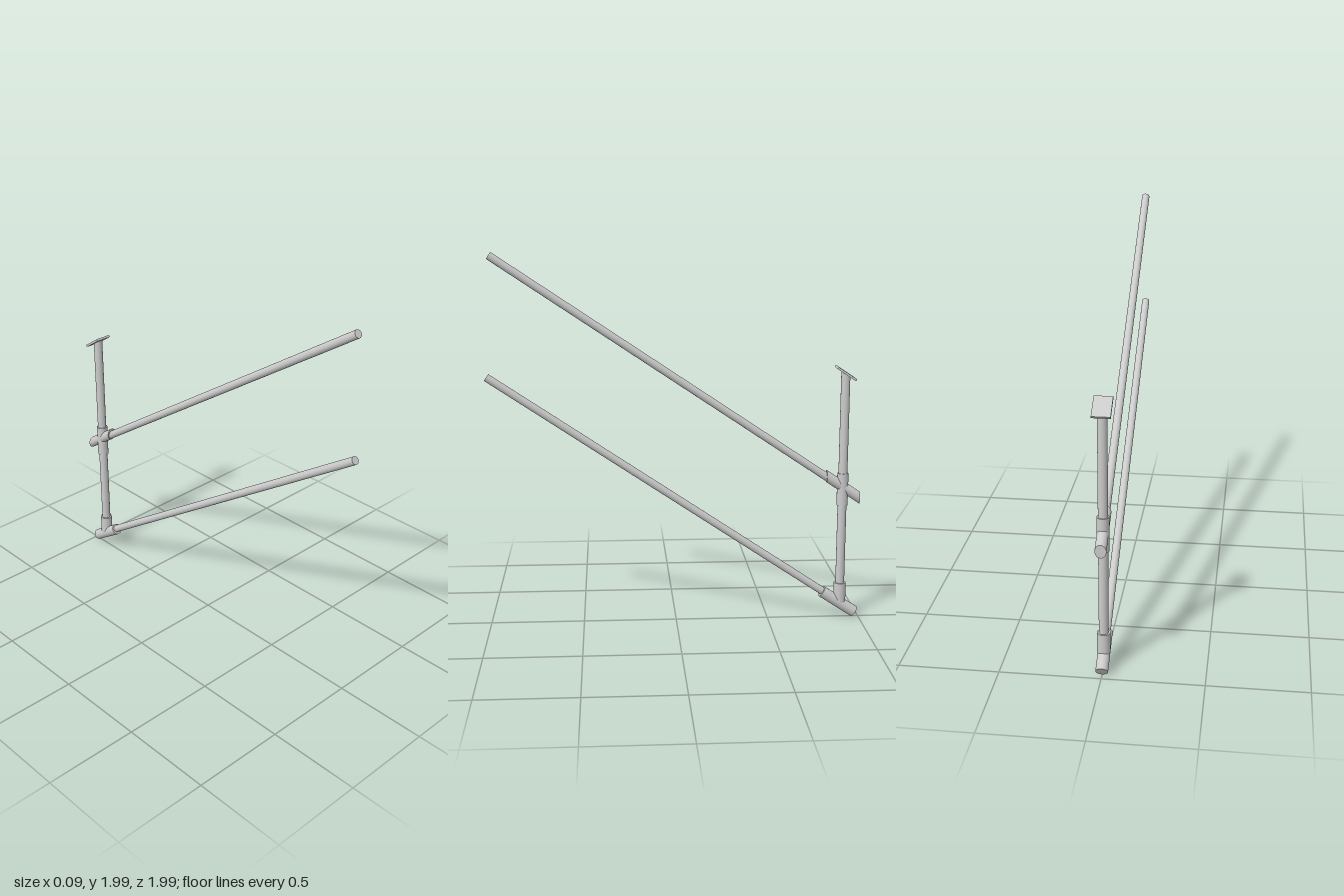
import * as THREE from 'three';

const SLOPE = 0.67;            // rise of the rails toward +z
const POST_Z = -0.896;
const material = new THREE.MeshStandardMaterial({ color: 0xcccccc });

function addMesh(parent, name, geometry) {
  const mesh = new THREE.Mesh(geometry, material);
  mesh.name = name;
  parent.add(mesh);
  return mesh;
}

// Round tube with square-cut ends between two [y, z] points
function addTube(parent, name, from, to, radius) {
  const a = new THREE.Vector3(0, ...from), b = new THREE.Vector3(0, ...to);
  const dir = b.clone().sub(a);
  const mesh = addMesh(parent, name, new THREE.CylinderGeometry(radius, radius, dir.length(), 20));
  mesh.position.copy(a).add(b).multiplyScalar(0.5);
  mesh.quaternion.setFromUnitVectors(new THREE.Vector3(0, 1, 0), dir.normalize());
  return mesh;
}

// Sloping tube whose ends are cut vertically
function slantedSleeve(radius, length) {
  const g = new THREE.CylinderGeometry(radius, radius, length, 24);
  g.rotateX(Math.PI / 2);
  g.scale(1, Math.hypot(1, SLOPE), 1);
  g.applyMatrix4(new THREE.Matrix4().set(
    1, 0, 0, 0,
    0, 1, SLOPE, 0,
    0, 0, 1, 0,
    0, 0, 0, 1));
  return g;
}

export function createModel() {
  const model = new THREE.Group();
  model.name = 'handrailSection';

  // Parallel sloping rails
  addTube(model, 'upperRail', [1.973, 0.957], [0.74, -0.885], 0.021);
  addTube(model, 'lowerRail', [1.347, 0.988], [0.10, -0.875], 0.021);

  // Upright post, its top cut to the slope of the plate
  const postGeometry = new THREE.CylinderGeometry(0.024, 0.024, 1.26, 20);
  const p = postGeometry.attributes.position;
  for (let i = 0; i < p.count; i++) {
    if (p.getY(i) > 0) p.setY(i, p.getY(i) + p.getZ(i) * SLOPE);
  }
  postGeometry.computeVertexNormals();
  addMesh(model, 'post', postGeometry).position.set(0, 0.72, POST_Z);

  // Tilted plate on top of the post
  const plate = addMesh(model, 'topPlate', new THREE.BoxGeometry(0.09, 0.012, 0.118));
  plate.position.set(0, 1.354, POST_Z);
  plate.rotation.x = -Math.atan(SLOPE);

  // Cross fitting at the upper rail
  const cross = new THREE.Group();
  cross.name = 'crossFitting';
  addTube(cross, 'crossUprightSleeve', [0.635, POST_Z], [0.812, POST_Z], 0.03);
  addMesh(cross, 'crossRailSleeve', slantedSleeve(0.028, 0.18)).position.set(0, 0.736, -0.898);
  model.add(cross);

  // Tee fitting at the lower rail
  const tee = new THREE.Group();
  tee.name = 'teeFitting';
  addTube(tee, 'teeUprightSleeve', [0.09, POST_Z], [0.198, POST_Z], 0.033);
  addTube(tee, 'teeRailSleeve', [0.147, -0.798], [0.029, -0.978], 0.031);
  model.add(tee);

  return model;
}
